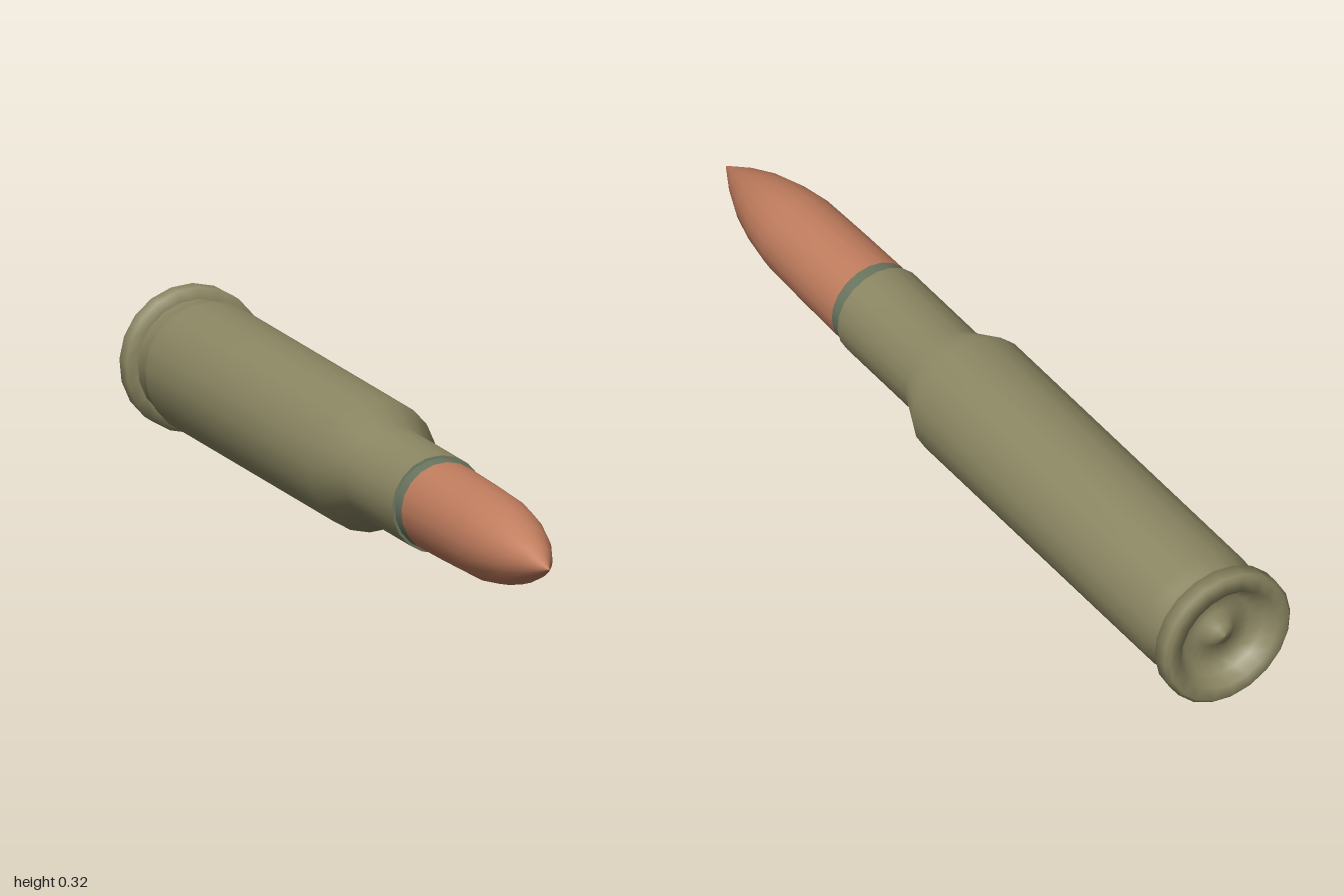
import * as THREE from 'three';

const SIDES = 20;
const AXIS_Y = 0.161;

function material(name, color) {
  const m = new THREE.MeshStandardMaterial({ color });
  m.name = name;
  return m;
}

// Turned part lying along z; profile is [radius, z] from back to front
function turned(name, profile, mat) {
  const points = profile.map(([r, z]) => new THREE.Vector2(r, z));
  const geometry = new THREE.LatheGeometry(points, SIDES, -0.06);
  geometry.rotateX(Math.PI / 2);
  const mesh = new THREE.Mesh(geometry, mat);
  mesh.name = name;
  mesh.position.y = AXIS_Y;
  return mesh;
}

export function createModel() {
  const olive = material('olive', 0x8c8763);
  const grey = material('greyGreen', 0x6a7660);
  const copper = material('copper', 0xc17d5e);
  const group = new THREE.Group();
  group.name = 'cartridge';

  // Base with dished back, central bump and rim
  group.add(turned('baseRim', [
    [0, -0.985], [0.025, -0.975], [0.045, -0.95], [0.085, -0.95],
    [0.108, -0.968], [0.122, -1], [0.152, -1], [0.161, -0.992],
    [0.161, -0.955], [0.135, -0.953],
  ], olive));

  // Groove, body, shoulder and neck
  group.add(turned('casing', [
    [0.135, -0.953], [0.135, -0.915], [0.147, -0.88], [0.147, 0.03],
    [0.108, 0.118], [0.108, 0.388],
  ], olive));

  // Mouth of the neck
  group.add(turned('mouthFace', [[0.108, 0.388], [0.102, 0.389]], grey));
  group.add(turned('mouthRing', [[0.102, 0.389], [0.101, 0.422]], grey));

  // Pointed tip
  group.add(turned('tip', [
    [0.101, 0.422], [0.099, 0.56], [0.095, 0.71], [0.083, 0.79],
    [0.065, 0.86], [0.037, 0.93], [0, 1],
  ], copper));

  return group;
}
